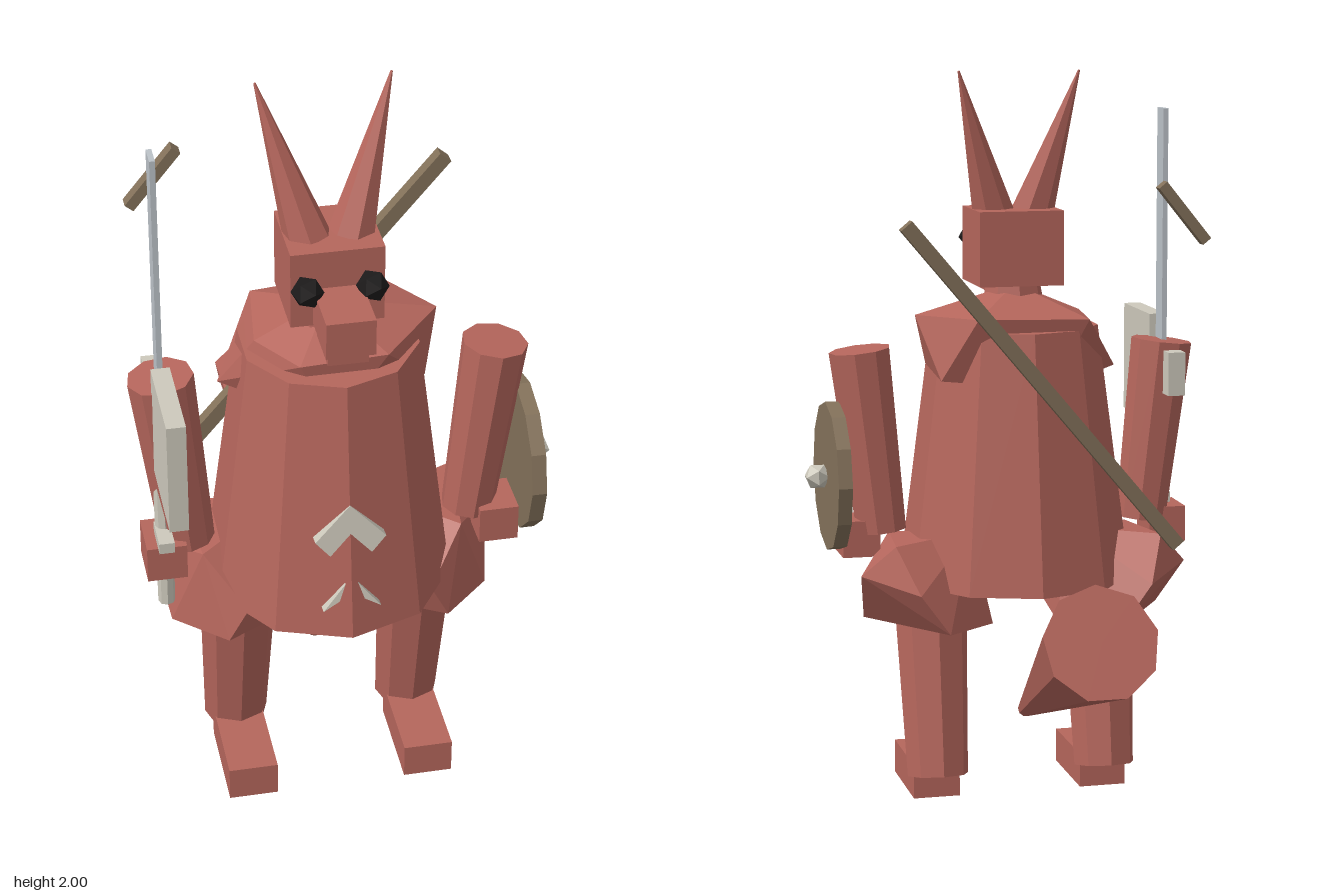
import * as THREE from 'three';
import { ConvexGeometry } from 'three/addons/geometries/ConvexGeometry.js';

const CX = -0.037; // body centre line
const CZ = 0.34;

const paint = (color) => new THREE.MeshStandardMaterial({ color, flatShading: true });
const hide = paint(0xb5665c);
const wood = paint(0x83715a);
const bone = paint(0xcdc9bc);
const steel = paint(0xbcc2c8);
const black = paint(0x1c1a1a);
const V = (a) => new THREE.Vector3(...a);

export function createModel() {
  const model = new THREE.Group();

  function add(name, geometry, material, pos = [0, 0, 0], rot = [0, 0, 0]) {
    const mesh = new THREE.Mesh(geometry, material);
    mesh.name = name;
    mesh.position.set(...pos);
    mesh.rotation.set(...rot);
    model.add(mesh);
    return mesh;
  }
  const box = (name, material, size, pos, rot) =>
    add(name, new THREE.BoxGeometry(...size), material, pos, rot);
  const hull = (name, points) => add(name, new ConvexGeometry(points.map(V)), hide);

  // Tapered round bar running from point a to point b
  function bar(name, material, a, b, ra, rb, sides) {
    const from = V(a), to = V(b);
    const dir = to.clone().sub(from);
    const mid = from.clone().add(to).multiplyScalar(0.5);
    const mesh = add(name, new THREE.CylinderGeometry(rb, ra, dir.length(), sides), material, mid.toArray());
    mesh.quaternion.setFromUnitVectors(new THREE.Vector3(0, 1, 0), dir.normalize());
    return mesh;
  }

  // Torso and faceted shoulder collar
  add('torso', new THREE.CylinderGeometry(0.24, 0.335, 0.7, 10), hide, [CX, 0.96, 0.325]).scale.x = 0.955;
  hull('collar', [
    [-0.04, 1.42, 0.33], [0.245, 1.345, 0.3], [0.08, 1.35, 0.5], [-0.14, 1.34, 0.5],
    [-0.23, 1.34, 0.36], [0.11, 1.35, 0.11], [-0.2, 1.34, 0.13], [-0.315, 1.19, 0.3],
    [0.2, 1.18, 0.17], [0.2, 1.2, 0.38], [-0.1, 1.15, 0.15], [-0.05, 1.15, 0.48],
  ]);

  // Head
  box('head', hide, [0.233, 0.203, 0.217], [CX, 1.524, 0.337]);
  box('snout', hide, [0.122, 0.097, 0.18], [CX, 1.477, 0.52]);
  box('lowerJaw', hide, [0.1, 0.045, 0.14], [CX, 1.41, 0.507]);
  add('neck', new THREE.CylinderGeometry(0.07, 0.09, 0.1, 8), hide, [CX, 1.4, 0.335]);

  // Paired parts, mirrored about the body centre line
  for (const s of [1, -1]) {
    const side = s > 0 ? 'left' : 'right';
    const x = (d) => CX + s * d;
    add(side + 'Eye', new THREE.IcosahedronGeometry(0.041, 0), black, [x(0.08), 1.537, 0.474], [0.3, 0.4, 0]);
    bar(side + 'Ear', hide, [x(0.055), 1.61, 0.345], [x(0.166), 2, 0.262], 0.06, 0.003, 7);

    bar(side + 'Arm', hide, [x(0.37), 0.75, CZ], [x(0.427), 1.25, CZ], 0.07, 0.085, 9);
    box(side + 'Hand', hide, [0.103, 0.1, 0.13], [x(0.435), 0.733, 0.36]);

    // Faceted thigh
    hull(side + 'Thigh', [
      [0.455, 0.65, 0.2], [0.42, 0.5, 0.36], [0.37, 0.74, 0.14], [0.34, 0.73, 0.4],
      [0.24, 0.61, 0.5], [0.29, 0.51, 0.49], [0.32, 0.62, 0.05], [0.24, 0.51, 0.05],
      [0.09, 0.5, 0.2], [0.1, 0.52, 0.4], [0.14, 0.75, 0.25], [0.24, 0.47, 0.3],
    ].map(([d, y, z]) => [x(d), y, z]));
    bar(side + 'Leg', hide, [x(0.238), 0.07, 0.24], [x(0.238), 0.55, 0.325], 0.085, 0.102, 8);
    box(side + 'Foot', hide, [0.13, 0.095, 0.27], [x(0.238), 0.0475, 0.39]);
  }

  // Club-shaped tail, widening backwards
  bar('tail', hide, [CX, 0.255, 0.19], [CX, 0.63, -0.6], 0.022, 0.15, 9);

  // Chest emblem: a chevron above two slivers, leaning with the torso
  const emblem = [
    [[0, 0.075], [-0.09, -0.02], [-0.053, -0.063], [0, -0.005], [0.053, -0.063], [0.09, -0.02]],
    [[-0.016, -0.147], [-0.074, -0.22], [-0.032, -0.195]],
    [[0.016, -0.147], [0.032, -0.195], [0.074, -0.22]],
  ];
  for (const points of emblem) {
    const shape = new THREE.Shape(points.map(([px, py]) => new THREE.Vector2(px, py)));
    const geometry = new THREE.ExtrudeGeometry(shape, { depth: 0.05, bevelEnabled: false });
    add('chestEmblem', geometry.translate(0, 0, -0.05), bone, [CX, 0.915, 0.621], [-0.135, 0, 0]);
  }

  // Round shield on the left arm
  add('shield', new THREE.CylinderGeometry(0.205, 0.205, 0.038, 12), wood, [0.468, 0.905, CZ], [0, 0, Math.PI / 2]);
  add('shieldBoss', new THREE.IcosahedronGeometry(0.037, 0), bone, [0.511, 0.905, CZ]);

  // Poleaxe in the right hand
  bar('axeHandle', bone, [-0.47, 0.57, 0.365], [-0.47, 1.24, 0.365], 0.022, 0.026, 8);
  box('axeBlade', bone, [0.048, 0.305, 0.26], [-0.47, 1.162, 0.53]);
  box('axeBackSpike', bone, [0.048, 0.12, 0.12], [-0.47, 1.17, 0.27]);
  box('axeTopSpike', steel, [0.014, 0.68, 0.06], [-0.47, 1.55, 0.365]);
  box('axeGuard', bone, [0.04, 0.03, 0.1], [-0.475, 0.8, 0.4]);

  // Staff slung across the back, and a loose stick beside the head
  box('backStaff', wood, [0.038, 1.15, 0.035], [-0.045, 1.175, 0.015], [0, 0, -0.7]);
  box('looseStick', wood, [0.028, 0.195, 0.035], [-0.425, 1.632, 0.015], [0, 0, -0.68]);

  return model;
}
